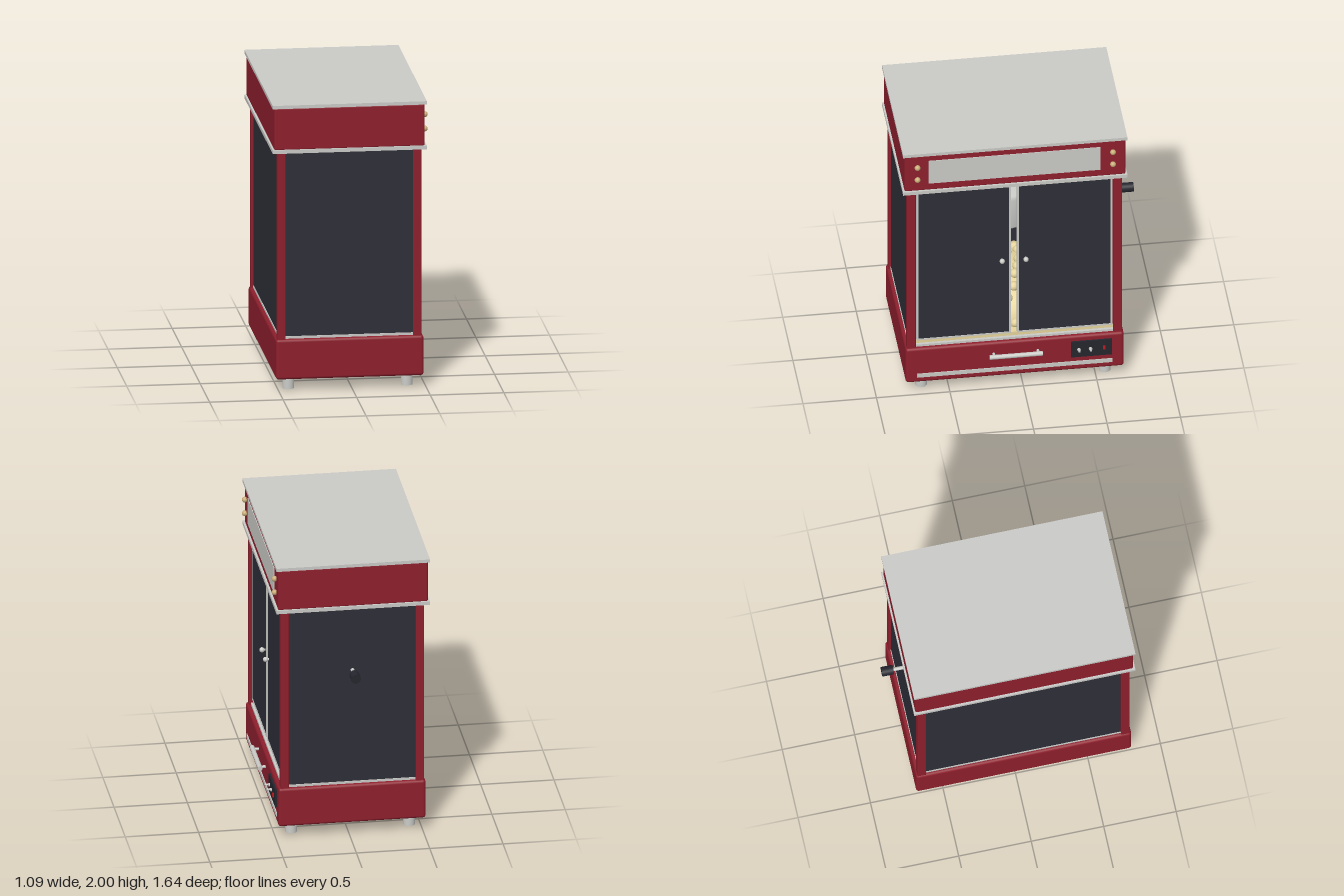
import * as THREE from 'three';
import { RoundedBoxGeometry } from 'three/addons/geometries/RoundedBoxGeometry.js';

const material = (name, color, side = THREE.FrontSide) => {
  const m = new THREE.MeshStandardMaterial({ color, side });
  m.name = name;
  return m;
};
const red = material('red enamel', 0x8e1f2d);
const glass = material('smoked glass', 0x2e2e38);
const silver = material('silver metal', 0xcacac7);
const brass = material('brass', 0xc9ae78);
const cream = material('popcorn cream', 0xe6d49a);
const black = material('black plastic', 0x25262e);
const signalRed = material('signal red', 0xc01820);

export function createModel() {
  const root = new THREE.Group();

  const add = (name, geometry, mat, x = 0, y = 0, z = 0, parent = root) => {
    const mesh = new THREE.Mesh(geometry, mat);
    mesh.name = name;
    mesh.position.set(x, y, z);
    parent.add(mesh);
    return mesh;
  };
  // Box given by its limits on each axis; an optional radius rounds the edges
  const box = (name, mat, [x0, x1], [y0, y1], [z0, z1], radius = 0, parent = root) => {
    const size = [x1 - x0, y1 - y0, z1 - z0];
    const geometry = radius
      ? new RoundedBoxGeometry(...size, 3, radius)
      : new THREE.BoxGeometry(...size);
    return add(name, geometry, mat, (x0 + x1) / 2, (y0 + y1) / 2, (z0 + z1) / 2, parent);
  };
  // Cylinder along a chosen axis
  const rod = (name, mat, r, length, axis, x, y, z, parent = root) => {
    const geometry = new THREE.CylinderGeometry(r, r, length, 24);
    if (axis === 'x') geometry.rotateZ(Math.PI / 2);
    if (axis === 'z') geometry.rotateX(Math.PI / 2);
    return add(name, geometry, mat, x, y, z, parent);
  };

  // Cabinet: base, header and cover slabs
  box('base', red, [-0.522, 0.482], [0.085, 0.365], [-0.687, 0.797], 0.02);
  box('header', red, [-0.535, 0.487], [1.685, 1.98], [-0.697, 0.807], 0.012);
  box('lowerSlab', silver, [-0.547, 0.5], [1.665, 1.69], [-0.708, 0.818]);
  box('topSlab', silver, [-0.547, 0.5], [1.977, 2], [-0.708, 0.818]);

  // Feet and corner posts
  for (const x of [-0.425, 0.38])
    for (const z of [-0.57, 0.68]) rod('foot', silver, 0.04, 0.09, 'y', x, 0.045, z);
  for (const x of [[-0.512, -0.455], [0.41, 0.467]])
    for (const z of [[-0.677, -0.617], [0.727, 0.787]])
      box('post', red, x, [0.35, 1.67], z, 0.006);

  // Three glass walls with a silver rail below each
  const walls = [
    ['frontWall', [-0.46, 0.415], [0.755, 0.77]],
    ['backWall', [-0.46, 0.415], [-0.66, -0.645]],
    ['sideWall', [-0.495, -0.48], [-0.62, 0.73]],
  ];
  for (const [name, x, z] of walls) {
    box(name, glass, x, [0.375, 1.667], z);
    const grow = (r) => [r[0] - 0.004, r[1] + 0.004];
    box(name + 'Rail', silver, grow(x), [0.36, 0.382], grow(z));
  }

  // Interior floor, ceiling strip and door sill
  box('floor', cream, [-0.47, 0.435], [0.36, 0.41], [-0.64, 0.75]);
  box('sill', silver, [0.4, 0.455], [0.355, 0.382], [-0.62, 0.73]);
  box('ceiling', silver, [-0.47, 0.43], [1.645, 1.667], [-0.64, 0.75]);
  box('ceilingStrip', cream, [0.425, 0.436], [1.648, 1.662], [-0.55, 0.66]);

  // Double doors: slim silver frame, dark pane and a round pull
  const doors = [['leftDoor', 0.078, 0.72, 0.14], ['rightDoor', -0.613, 0.036, -0.022]];
  for (const [name, z0, z1, pull] of doors) {
    const door = new THREE.Group();
    door.name = name;
    root.add(door);
    const y = [0.413, 1.648], x = [0.43, 0.45], t = 0.012;
    box('doorFrame', silver, x, [y[0], y[0] + t], [z0, z1], 0, door);
    box('doorFrame', silver, x, [y[1] - t, y[1]], [z0, z1], 0, door);
    box('doorFrame', silver, x, [y[0] + t, y[1] - t], [z0, z0 + t], 0, door);
    box('doorFrame', silver, x, [y[0] + t, y[1] - t], [z1 - t, z1], 0, door);
    box('doorPane', glass, [0.434, 0.447], [y[0] + t, y[1] - t], [z0 + t, z1 - t], 0, door);
    rod('pullStem', silver, 0.008, 0.03, 'x', 0.455, 1.03, pull, door);
    add('pull', new THREE.SphereGeometry(0.018, 20, 14), silver, 0.47, 1.03, pull, door);
  }

  // Header sign plate with brass bulbs at each end
  box('signPlate', silver, [0.484, 0.492], [1.743, 1.93], [-0.527, 0.643]);
  for (const z of [-0.61, 0.72])
    for (const y of [1.785, 1.885]) {
      rod('bulbCollar', brass, 0.014, 0.014, 'x', 0.489, y, z);
      add('bulb', new THREE.SphereGeometry(0.02, 20, 14), brass, 0.498, y, z);
    }

  // Drawer handle and trim strip on the base
  rod('drawerHandle', silver, 0.016, 0.36, 'z', 0.523, 0.275, 0.052);
  for (const z of [-0.1, 0.2]) rod('handleMount', silver, 0.01, 0.045, 'x', 0.5, 0.275, z);
  box('trimStrip', silver, [0.478, 0.488], [0.13, 0.16], [-0.607, 0.72]);

  // Control panel with two toggles and a rocker
  box('controlPanel', black, [0.478, 0.495], [0.2, 0.325], [-0.605, -0.325]);
  for (const z of [-0.378, -0.457]) {
    rod('toggleNut', silver, 0.012, 0.012, 'x', 0.498, 0.263, z);
    rod('toggle', silver, 0.007, 0.04, 'x', 0.508, 0.266, z);
  }
  box('rocker', signalRed, [0.49, 0.504], [0.25, 0.278], [-0.558, -0.542]);

  // Crank through the back wall
  rod('crankShaft', silver, 0.013, 0.75, 'z', -0.025, 1.2, -0.375);
  rod('crankGrip', black, 0.033, 0.08, 'z', -0.025, 1.2, -0.78);

  // Kettle hung from the ceiling
  const kettle = [[0, 1.05], [0.16, 1.05], [0.19, 1.08], [0.19, 1.3], [0.17, 1.32], [0, 1.34]];
  add('kettle', new THREE.LatheGeometry(kettle.map((p) => new THREE.Vector2(...p)), 32),
    silver, -0.025, 0, 0.055);
  rod('kettleHanger', silver, 0.025, 0.33, 'y', -0.025, 1.49, 0.055);

  // Popcorn mound: flattened dome scattered with kernels
  const mound = add('popcornMound', new THREE.SphereGeometry(1, 32, 10, 0, Math.PI * 2, 0, Math.PI / 2),
    cream, -0.02, 0.4, 0.055);
  mound.scale.set(0.4, 0.28, 0.58);
  const kernel = new THREE.IcosahedronGeometry(0.035, 1);
  for (let i = 0; i < 90; i++) {
    const r = Math.sqrt((i + 0.5) / 90), a = i * 2.39996;
    add('popcornKernel', kernel, cream, -0.02 + 0.38 * r * Math.cos(a),
      0.41 + 0.28 * Math.sqrt(1 - r * r), 0.055 + 0.56 * r * Math.sin(a));
  }

  // Centre the footprint on the origin
  root.name = 'popcornCabinet';
  return root;
}
